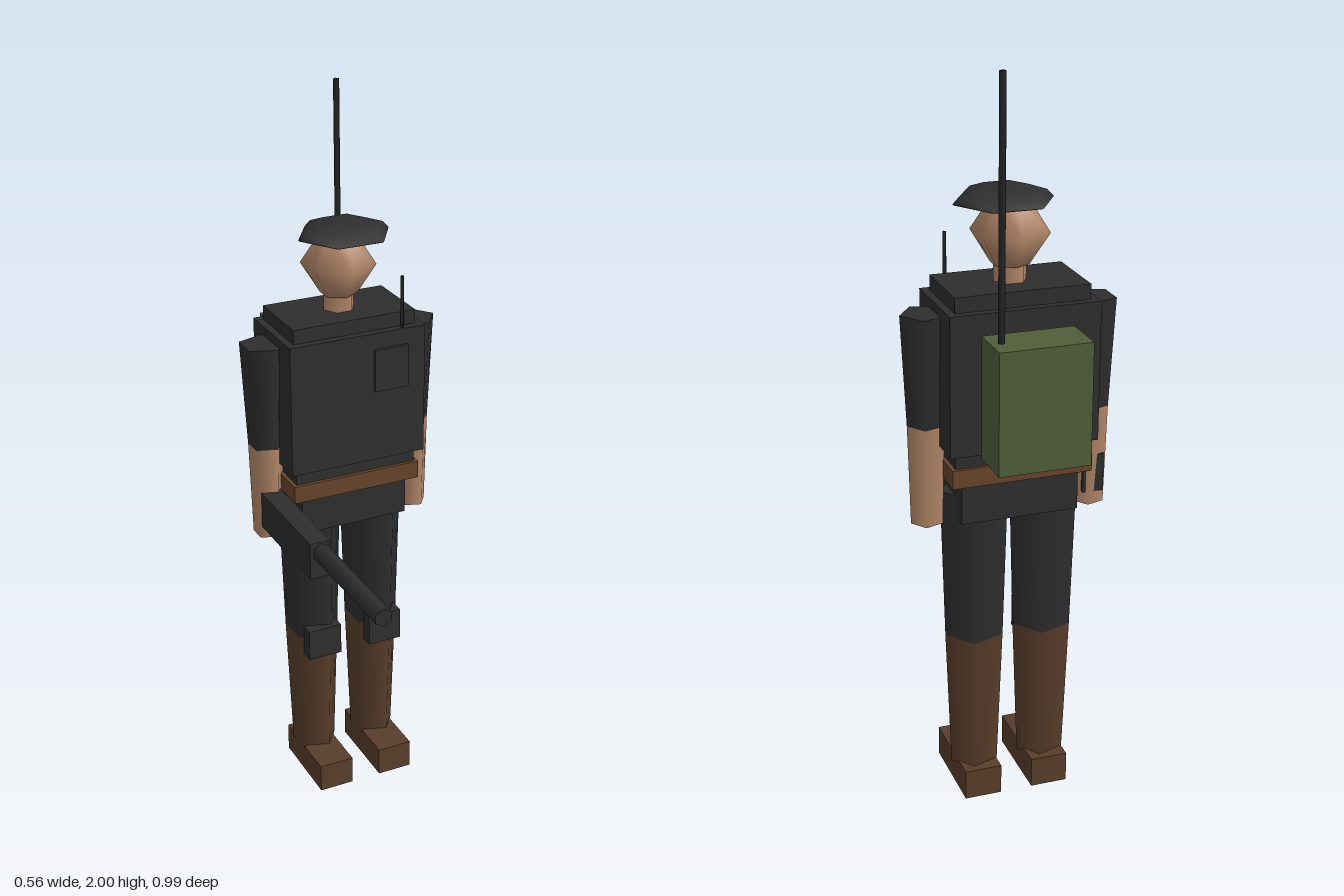
import * as THREE from 'three';

const paint = (name, color) => {
  const m = new THREE.MeshStandardMaterial({ color });
  m.name = name;
  return m;
};

export function createModel() {
  const black = paint('blackCloth', 0x2e2e2f);
  const dark = paint('darkMetal', 0x232324);
  const skin = paint('skin', 0xb5886a);
  const boot = paint('bootLeather', 0x593e2a);
  const leather = paint('beltLeather', 0x68442b);
  const olive = paint('oliveCanvas', 0x515d39);

  const CX = -0.0075, CZ = -0.226; // body axis
  const model = new THREE.Group();
  model.name = 'soldier';

  const add = (name, geometry, material, x = 0, y = 0, z = 0) => {
    const mesh = new THREE.Mesh(geometry, material);
    mesh.name = name;
    mesh.position.set(x, y, z);
    model.add(mesh);
    return mesh;
  };
  // Box given by its lower and upper limits on each axis
  const box = (name, mat, x0, x1, y0, y1, z0, z1) =>
    add(name, new THREE.BoxGeometry(x1 - x0, y1 - y0, z1 - z0), mat,
      (x0 + x1) / 2, (y0 + y1) / 2, (z0 + z1) / 2);
  // Upright tapered prism with one corner pointing to +x
  const post = (name, mat, x, z, y0, y1, rBottom, rTop, sides = 5) => {
    const g = new THREE.CylinderGeometry(rTop, rBottom, y1 - y0, sides);
    g.rotateY(Math.PI / 2);
    return add(name, g, mat, x, (y0 + y1) / 2, z);
  };

  // Trunk
  box('pelvis', black, -0.165, 0.15, 0.83, 0.96, -0.317, -0.135);
  box('torso', black, -0.185, 0.17, 0.95, 1.44, -0.328, -0.124);
  box('vest', black, -0.205, 0.19, 1.03, 1.40, -0.35, -0.102);
  box('belt', leather, -0.195, 0.18, 0.94, 0.99, -0.337, -0.114);

  // Chest radio
  box('chestRadio', black, 0.037, 0.137, 1.235, 1.355, -0.13, -0.092);
  post('chestRadioAerial', dark, 0.126, -0.112, 1.30, 1.545, 0.005, 0.005, 4);

  // Arms and legs, one per side
  for (const [side, s] of [['left', 1], ['right', -1]]) {
    const armX = CX + s * 0.2225, legX = CX + s * 0.095;
    post(side + 'UpperArm', black, armX, CZ, 1.08, 1.375, 0.05, 0.065);
    post(side + 'Forearm', skin, armX, CZ, 0.81, 1.08, 0.043, 0.05);
    post(side + 'Thigh', black, legX, CZ, 0.47, 0.89, 0.08, 0.092);
    post(side + 'BootShaft', boot, legX, CZ, 0.075, 0.47, 0.065, 0.08);
    box(side + 'Foot', boot, legX - 0.051, legX + 0.051, 0, 0.084, -0.308, -0.067);
    box(side + 'KneePad', black, legX - 0.05, legX + 0.05, 0.415, 0.508, -0.183, -0.135);
  }

  // Neck and six-sided head
  post('neck', skin, CX, CZ, 1.43, 1.50, 0.044, 0.044, 6);
  const headProfile = [[0, -0.095], [0.05, -0.082], [0.102, 0], [0.05, 0.08], [0, 0.095]]
    .map(([r, y]) => new THREE.Vector2(r, y));
  add('head', new THREE.LatheGeometry(headProfile, 6), skin, CX, 1.565, CZ);

  // Beret: a flattened six-sided dome with a closed underside
  const beretProfile = [[0, 0], [0.117, 0], [0.122, 0.003], [0.105, 0.022], [0.062, 0.038], [0, 0.045]]
    .map(([r, y]) => new THREE.Vector2(r, y));
  const beretShape = new THREE.LatheGeometry(beretProfile, 6);
  beretShape.rotateY(Math.PI / 2);
  beretShape.scale(1.08, 1, 1);
  add('beret', beretShape, black, 0.01, 1.64, CZ);

  // Pack with its long aerial
  box('backpack', olive, -0.126, 0.115, 1.03, 1.35, -0.497, -0.367);
  post('packAerial', dark, 0.087, -0.432, 1.33, 2.0, 0.009, 0.009, 4);

  // Rifle held in the right hand
  box('rifleBody', black, -0.26, -0.203, 0.845, 0.95, -0.262, 0.13);
  const barrel = new THREE.CylinderGeometry(0.025, 0.025, 0.375, 6);
  barrel.rotateX(Math.PI / 2);
  add('rifleBarrel', barrel, black, -0.228, 0.92, 0.3095);

  return model;
}
